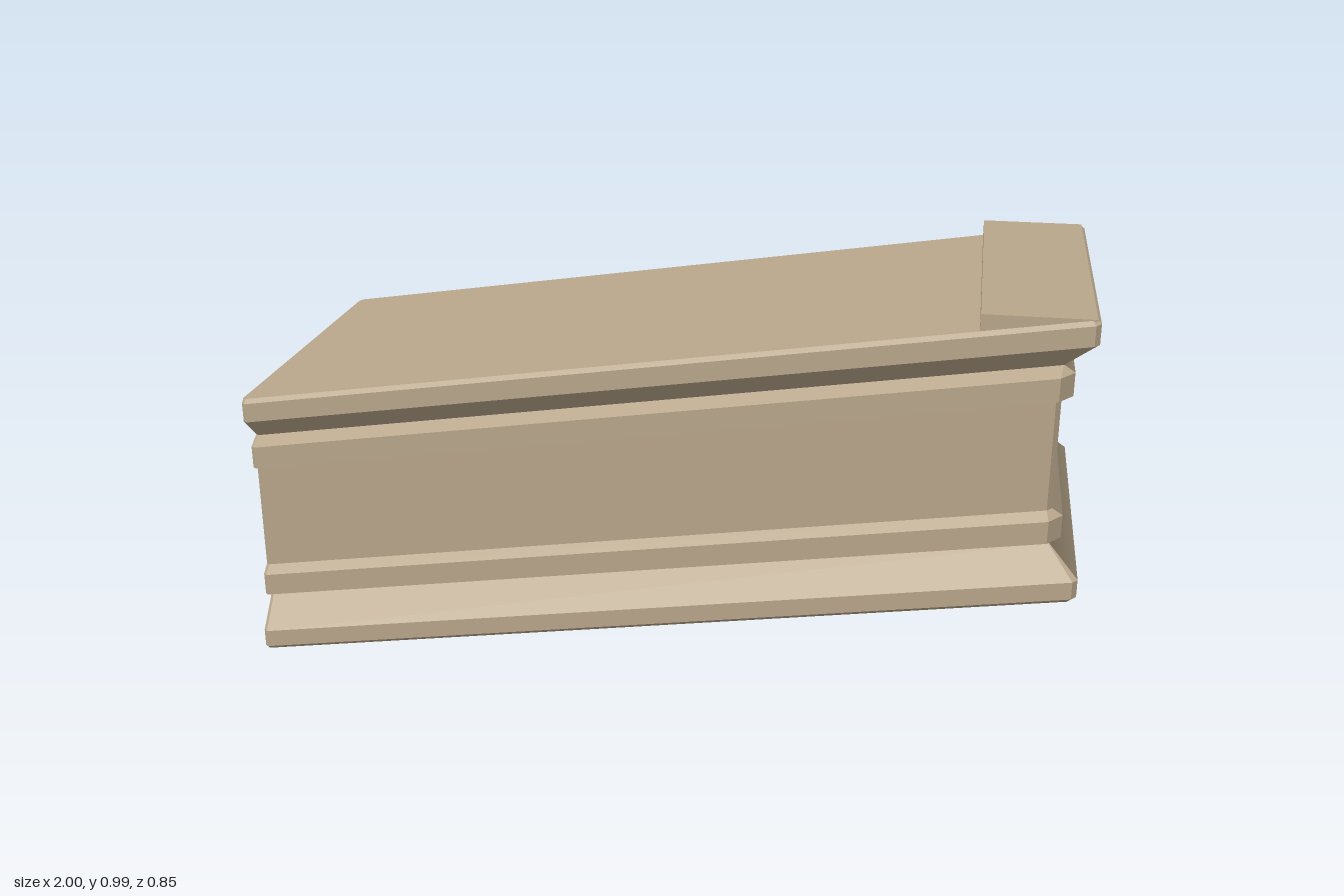
import * as THREE from 'three';

const SLOPE = 0.155;
const LEFT = -0.998;
const lift = (x) => SLOPE * (x + 1);

// moulding rows: height at the left end, half depth, right end x, right corner chamfer
const ROWS = [
  [0.0, 0.417, 0.988, 0.010],
  [0.01, 0.427, 0.998, 0.012],
  [0.053, 0.427, 0.998, 0.012],
  [0.128, 0.364, 0.930, 0.002],
  [0.142, 0.398, 0.955, 0.032],
  [0.197, 0.398, 0.955, 0.032],
  [0.216, 0.375, 0.930, 0.012],
  [0.481, 0.375, 0.930, 0.012],
  [0.488, 0.398, 0.955, 0.032],
  [0.543, 0.398, 0.955, 0.032],
  [0.563, 0.364, 0.930, 0.002],
  [0.62, 0.427, 0.998, 0.012],
  [0.667, 0.427, 0.998, 0.012],
  [0.677, 0.417, 0.988, 0.010],
];

// sheared outline of one row, running front-left, right end, back-left
function outline([h, z, x, c]) {
  const b = 0.01;
  return [
    [LEFT, z - b], [LEFT + b, z], [x - c, z], [x, z - c],
    [x, c - z], [x - c, -z], [LEFT + b, -z], [LEFT, b - z],
  ].map(([px, pz]) => new THREE.Vector3(px, h + lift(px), pz));
}

function flatGeometry(points) {
  const g = new THREE.BufferGeometry().setFromPoints(points);
  g.computeVertexNormals();
  return g;
}

export function createModel() {
  const group = new THREE.Group();
  const stone = new THREE.MeshStandardMaterial({ color: 0xb8a68b });
  stone.name = 'tan stone';
  const add = (name, geometry) => {
    const mesh = new THREE.Mesh(geometry, stone);
    mesh.name = name;
    group.add(mesh);
  };

  const loops = ROWS.map(outline);
  const last = loops.length - 1;
  const END = 3; // outline side forming the right end

  // flat sides, corners and left end
  const sides = [];
  for (let r = 0; r < last; r++) {
    for (let i = 0; i < 8; i++) {
      if (i === END && r > 0 && r < last - 1) continue;
      const j = (i + 1) % 8;
      const a = loops[r][i], b = loops[r][j], c = loops[r + 1][j], d = loops[r + 1][i];
      sides.push(a, b, c, a, c, d);
    }
  }
  add('mouldedSides', flatGeometry(sides));

  // sloping top and underside
  const top = [], bottom = [];
  for (let i = 1; i < 7; i++) {
    top.push(loops[last][0], loops[last][i], loops[last][i + 1]);
    bottom.push(loops[0][0], loops[0][i + 1], loops[0][i]);
  }
  add('slopingTop', flatGeometry(top));
  add('underside', flatGeometry(bottom));

  // softly shaded moulding on the right end
  const rows = loops.slice(1, last);
  const faceNormal = (k) => {
    const p = rows[k][END], q = rows[k + 1][END];
    return new THREE.Vector3(q.y - p.y, p.x - q.x, 0).normalize();
  };
  const position = [], normal = [], index = [];
  rows.forEach((row, k) => {
    const n = new THREE.Vector3();
    if (k > 0) n.add(faceNormal(k - 1));
    if (k < rows.length - 1) n.add(faceNormal(k));
    n.normalize();
    for (const p of [row[END], row[END + 1]]) {
      position.push(p.x, p.y, p.z);
      normal.push(n.x, n.y, n.z);
    }
    const a = 2 * k;
    if (k < rows.length - 1) index.push(a, a + 1, a + 3, a, a + 3, a + 2);
  });
  const end = new THREE.BufferGeometry();
  end.setAttribute('position', new THREE.Float32BufferAttribute(position, 3));
  end.setAttribute('normal', new THREE.Float32BufferAttribute(normal, 3));
  end.setIndex(index);
  add('rightEndMoulding', end);

  // level wedge at the high end
  const x0 = 0.74, x1 = 0.99, h = 0.677, depth = 0.834;
  const wedge = new THREE.Shape([
    new THREE.Vector2(x0, h + lift(x0) - 0.004),
    new THREE.Vector2(x1, h + lift(x1) - 0.004),
    new THREE.Vector2(x1, 0.986),
    new THREE.Vector2(x0, 0.986),
  ]);
  const wedgeGeometry = new THREE.ExtrudeGeometry(wedge, { depth, bevelEnabled: false });
  wedgeGeometry.translate(0, 0, -depth / 2);
  add('levelWedge', wedgeGeometry);

  return group;
}
